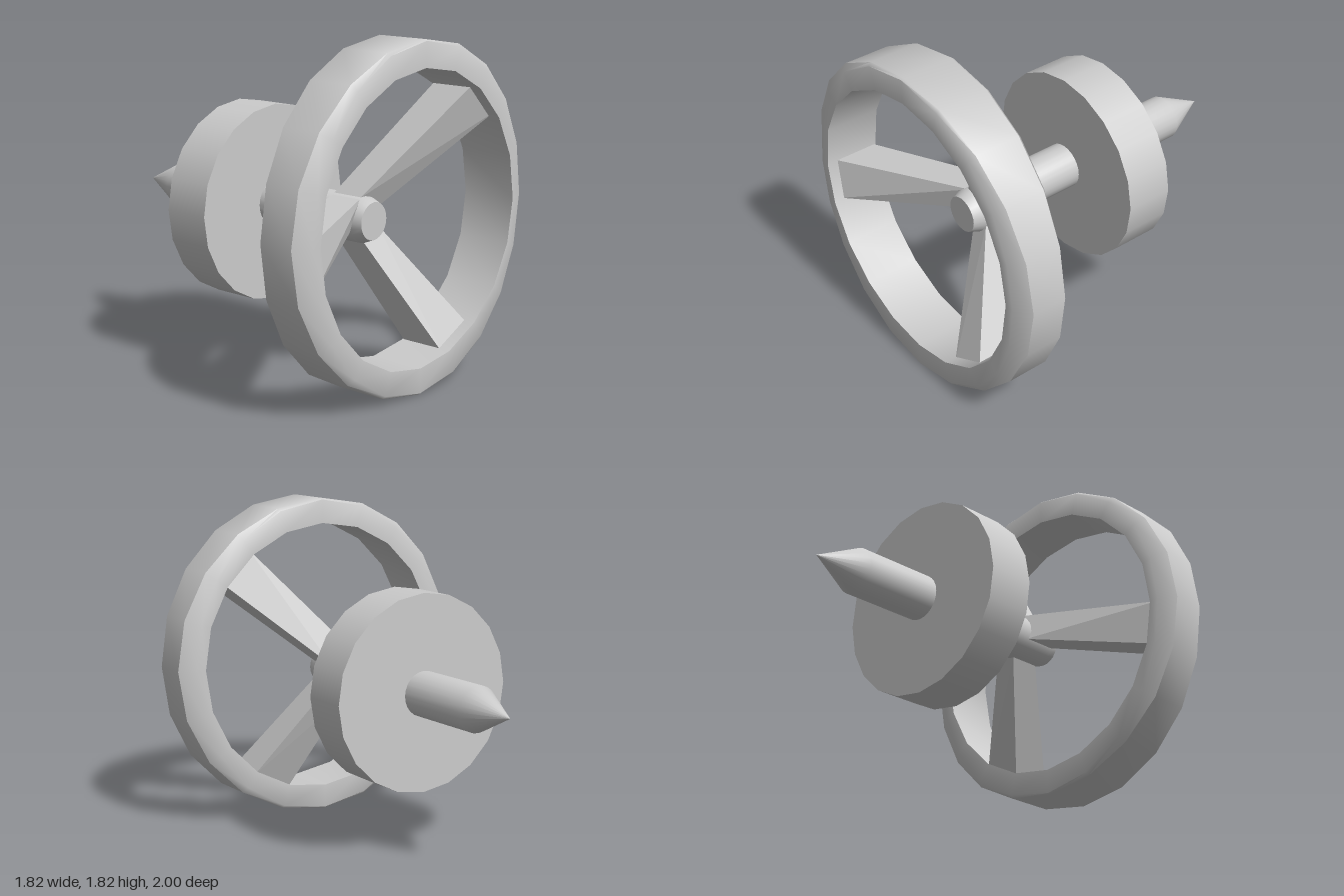
import * as THREE from 'three';
import { toCreasedNormals } from 'three/addons/utils/BufferGeometryUtils.js';
import { ConvexGeometry } from 'three/addons/geometries/ConvexGeometry.js';

const HUB_Y = 0.86;
const RIM_Y = 0.91;

// Rim: a 20-sided ring whose outer bevel widens towards the left and right sides
function rimGeometry() {
  const sides = 20, R = 0.908, inner = 0.767, back = 0.69, front = 1;
  const positions = [], index = [];
  for (let i = 0; i < sides; i++) {
    const a = (i / sides) * Math.PI * 2;
    const c2 = Math.cos(a) ** 2;
    const faceR = R - 0.008 - 0.082 * c2;
    const bevel = 0.012 + 0.045 * c2;
    const section = [
      [R, back + bevel], [R, front - bevel], [faceR, front],
      [inner, front], [inner, back], [faceR, back],
    ];
    section.forEach(([r, z], j) => {
      positions.push(r * Math.cos(a), r * Math.sin(a), z);
      const n = (i + 1) % sides, k = (j + 1) % 6;
      const p = i * 6 + j, q = n * 6 + j, s = n * 6 + k, t = i * 6 + k;
      index.push(p, q, s, p, s, t);
    });
  }
  const g = new THREE.BufferGeometry();
  g.setAttribute('position', new THREE.Float32BufferAttribute(positions, 3));
  g.setIndex(index);
  return toCreasedNormals(g, 0.85);
}

// Spoke: tapered beam slanting forward from the hub into the rim
function spokeGeometry(innerEnds, outerEnds) {
  const points = [];
  innerEnds.forEach(([x, y], i) => {
    const [ox, oy] = outerEnds[i];
    points.push(new THREE.Vector3(x, y, 0.43), new THREE.Vector3(x, y, 0.61));
    // run a little way into the rim
    const ex = x + (ox - x) * 1.05, ey = y + (oy - y) * 1.05;
    points.push(new THREE.Vector3(ex, ey, 0.71), new THREE.Vector3(ex, ey, 0.95));
  });
  return new ConvexGeometry(points);
}

export function createModel() {
  const group = new THREE.Group();
  const material = new THREE.MeshStandardMaterial({ color: 0xcccccc });
  const add = (name, geometry, y = 0, z = 0) => {
    const mesh = new THREE.Mesh(geometry, material);
    mesh.name = name;
    mesh.position.set(0, y, z);
    group.add(mesh);
  };

  add('rim', rimGeometry(), RIM_Y);

  // Shaft with a pointed back end and a bevelled front end
  const profile = [[0, -1], [0.123, -0.745], [0.123, 0.62], [0.1, 0.68], [0, 0.68]]
    .map(([r, y]) => new THREE.Vector2(r, y));
  const shaft = new THREE.LatheGeometry(profile, 24).rotateX(Math.PI / 2);
  add('shaft', toCreasedNormals(shaft, 0.6), HUB_Y);

  // Solid disc around the shaft
  add('disc', new THREE.CylinderGeometry(0.537, 0.537, 0.27, 20).rotateX(Math.PI / 2), HUB_Y, -0.15);

  // Spokes: [two hub corners], [two rim corners]
  const spokes = [
    [[[-0.03, 0.975], [0.115, 0.91]], [[0.45, 1.53], [0.62, 1.36]]],
    [[[-0.02, 0.975], [-0.1, 0.815]], [[-0.76, 0.91], [-0.72, 0.68]]],
    [[[0, 0.74], [0.11, 0.815]], [[0.24, 0.18], [0.45, 0.29]]],
  ];
  spokes.forEach(([hub, rim], i) => add(`spoke${i + 1}`, spokeGeometry(hub, rim)));

  return group;
}
